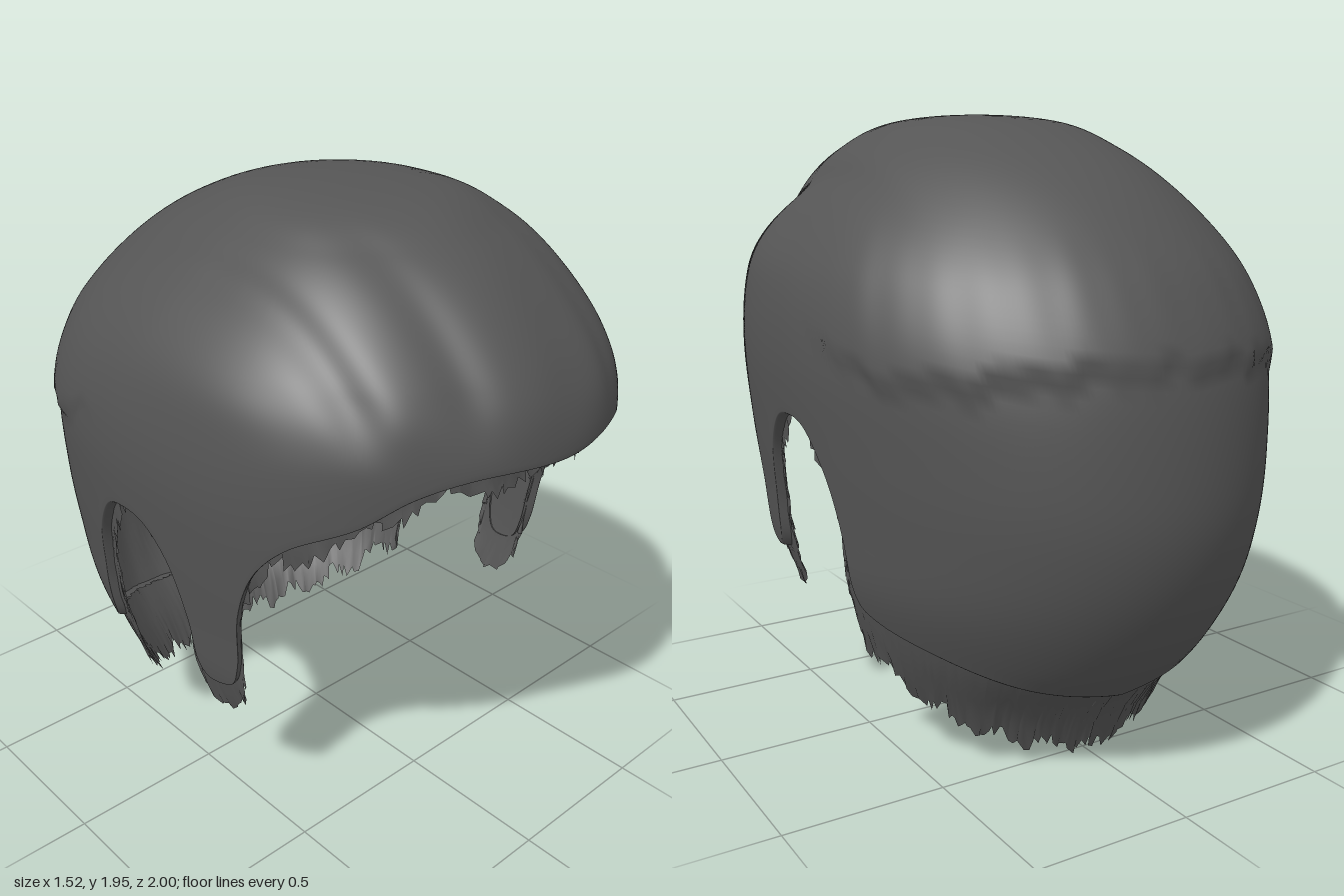
import * as THREE from 'three';

// Horizontal sections from crown to nape: [y, front reach, back reach, half width, centre z]
const SECTIONS = [
  [1.99, 0, 0, 0, 0.15], [1.965, 0.31, 0.29, 0.27, 0.14], [1.88, 0.51, 0.53, 0.42, 0.13],
  [1.76, 0.7, 0.71, 0.55, 0.1], [1.6, 0.88, 0.85, 0.68, 0.06], [1.45, 0.98, 0.91, 0.74, 0.02],
  [1.25, 1, 0.965, 0.76, 0], [1, 0.98, 0.995, 0.74, 0], [0.8, 0.96, 0.985, 0.715, 0],
  [0.6, 0.94, 0.92, 0.69, 0], [0.4, 0.92, 0.8, 0.62, 0], [0.2, 0.9, 0.62, 0.54, 0], [0, 0.88, 0.53, 0.48, 0],
];
const LAST = SECTIONS.length - 1;

// Hairlines from forehead past sideburn and ear to nape: [z, y]
const HAIRLINE = [
  [1, 1.39], [0.93, 1.39], [0.85, 1.35], [0.76, 1.27], [0.6, 1.18], [0.5, 1.07], [0.43, 0.9], [0.4, 0.7],
  [0.37, 0.63], [0.27, 0.61], [0.24, 0.65], [0.22, 0.8], [0.17, 0.98], [0.08, 1.08], [0, 1.1], [-0.1, 1.08],
  [-0.2, 0.95], [-0.25, 0.75], [-0.27, 0.56], [-0.32, 0.52], [-0.5, 0.45], [-0.66, 0.36], [-0.75, 0.29],
];
const FRINGE = [
  [1, 1.32], [0.9, 1.31], [0.8, 1.24], [0.6, 1.1], [0.48, 1], [0.42, 0.85], [0.4, 0.62], [0.37, 0.5],
  [0.21, 0.48], [0.2, 0.6], [0.2, 0.8], [0.16, 0.96], [0.07, 1.05], [0, 1.07], [-0.08, 1.05], [-0.17, 0.93],
  [-0.21, 0.75], [-0.2, 0.55], [-0.18, 0.4], [-0.24, 0.33], [-0.4, 0.18], [-0.57, 0.06],
];

const hash = (n) => {
  const s = Math.sin(n * 127.1 + 11.7) * 43758.5453;
  return s - Math.floor(s);
};
const bell = (v, width) => Math.exp(-((v / width) ** 2));
const step = THREE.MathUtils.smoothstep;

// Smoothly interpolated section; the crown mirrors so the dome closes flat
function section(t) {
  const i = Math.min(Math.floor(t), LAST - 1), f = t - i;
  const at = (k) => k < 0
    ? SECTIONS[1].map((v, c) => (c > 0 && c < 4 ? -v : v))
    : SECTIONS[Math.min(k, LAST)];
  const [a, b, c, d] = [at(i - 1), at(i), at(i + 1), at(i + 2)];
  return b.map((v, k) => v + 0.5 * f * (c[k] - a[k]
    + f * (2 * a[k] - 5 * v + 4 * c[k] - d[k] + f * (3 * (v - c[k]) + d[k] - a[k]))));
}

function depthAt(y) {
  let lo = 0, hi = LAST;
  for (let i = 0; i < 24; i++) {
    const mid = (lo + hi) / 2;
    if (section(mid)[0] > y) lo = mid; else hi = mid;
  }
  return (lo + hi) / 2;
}

// Elliptical at the back, a little squarer at the forehead
function surfacePoint(angle, t) {
  const [y, front, back, width, centre] = section(t);
  const c = Math.cos(angle), s = Math.sin(angle);
  const fuller = 1 + (c > 0 ? 0.32 * c * c * s * s : 0);
  return new THREE.Vector3(width * s * fuller, y, centre + c * (c > 0 ? front : back));
}

// Full loop of edge points (angle, depth) from one side's hairline
function edgeLoop(line, half, ragged) {
  const knots = line.map(([z, y], i) => {
    const [, front, back, , centre] = section(depthAt(y));
    const d = z - centre;
    const cos = THREE.MathUtils.clamp(d / (d > 0 ? front : back), -1, 1);
    const angle = i === 0 ? 0 : i === line.length - 1 ? Math.PI : Math.acos(cos);
    return new THREE.Vector3(angle, y, 0);
  });
  const pts = new THREE.CatmullRomCurve3(knots).getSpacedPoints(half);
  const mirrored = pts.slice(1, -1).reverse().map((p) => new THREE.Vector3(-p.x, p.y, 0));
  return [...pts, ...mirrored].map((p, i) => ({
    angle: p.x + ragged * 0.5 * (hash(i + 500) - 0.5),
    depth: depthAt(Math.max(0.01, p.y + ragged * (hash(i) - 0.5) + ragged * 0.4 * Math.sin(i * 0.4))),
  }));
}

// Sheet of columns running from the crown to the edge
function sheet(edge, rows, place) {
  const positions = [], index = [], n = edge.length;
  edge.forEach((e, i) => {
    for (let k = 0; k <= rows; k++) positions.push(...place(e, k, i).toArray());
  });
  for (let i = 0; i < n; i++) {
    for (let k = 0; k < rows; k++) {
      const a = i * (rows + 1) + k, b = ((i + 1) % n) * (rows + 1) + k;
      index.push(a, a + 1, b + 1);
      if (k > 0) index.push(a, b + 1, b);
    }
  }
  const geometry = new THREE.BufferGeometry();
  geometry.setAttribute('position', new THREE.Float32BufferAttribute(positions, 3));
  geometry.setIndex(index);
  geometry.computeVertexNormals();
  return geometry;
}

// Combed locks on top and the overlapping upper layer behind the ears
function relief(p, angle) {
  const side = Math.abs(p.x);
  const forward = step(p.z, -0.5, 0.2) * step(p.y, 1.4, 1.6);
  const locks = -0.03 * bell(side - 0.52, 0.05) - 0.012 * bell(side - 0.27, 0.06)
    + 0.008 * Math.sin(p.x * 17 + p.z * 4);
  const behind = step(-p.z, 0.1, 0.45);
  const seam = 1.37 - 0.12 * step(-p.z, 0.1, 0.5) + 0.05 * step(-p.z, 0.6, 0.95)
    + 0.012 * Math.sin(angle * 23) + 0.008 * Math.sin(angle * 41 + 1);
  const layer = 0.022 * behind * step(p.y, seam - 0.02, seam + 0.02) * (1 - step(p.y, seam + 0.03, seam + 0.4));
  return 1 + locks * forward + layer;
}

export function createModel() {
  const group = new THREE.Group();
  group.name = 'hair';
  const material = new THREE.MeshStandardMaterial({ color: 0x555555, side: THREE.DoubleSide });
  const add = (name, geometry) => {
    const mesh = new THREE.Mesh(geometry, material);
    mesh.name = name;
    group.add(mesh);
  };

  // Outer hair with an edge rolled inward, frayed inside the nape
  const bodyRows = 66, rimRows = 5;
  add('outerHair', sheet(edgeLoop(HAIRLINE, 240, 0), bodyRows + rimRows, (e, k, i) => {
    const p = surfacePoint(e.angle, e.depth * Math.min(1, k / bodyRows));
    const roll = Math.max(0, k - bodyRows) / rimRows * Math.PI / 2;
    const fray = k === bodyRows + rimRows && p.z < -0.3 ? 0.025 * hash(i + 90) : 0;
    const scale = relief(p, e.angle) - 0.05 * (1 - Math.cos(roll)) - fray;
    p.x *= scale;
    p.z *= scale;
    p.y -= 0.012 * Math.sin(roll);
    return p;
  }));

  // Inner layer, showing as a ragged fringe: set back under the brow, nearly flush at the nape
  const innerRows = 36;
  add('innerFringe', sheet(edgeLoop(FRINGE, 240, 0.05), innerRows, (e, k, i) => {
    const p = surfacePoint(e.angle, e.depth * k / innerRows);
    const nape = step(-p.z, 0, 0.3) * (1 - step(p.y, 0.3, 0.7));
    const scale = 0.96 - 0.025 * step(p.z, 0.4, 0.9) + 0.025 * nape
      + 0.004 * Math.sin(p.x * 31 + p.y * 17) * Math.sin(p.y * 29 - p.x * 11)
      + (k === innerRows ? 0.02 * (hash(i + 40) - 0.5) : 0);
    p.x *= scale;
    p.z *= scale;
    p.y -= 0.035 * step(p.y, 1.3, 1.9);
    return p;
  }));

  return group;
}
